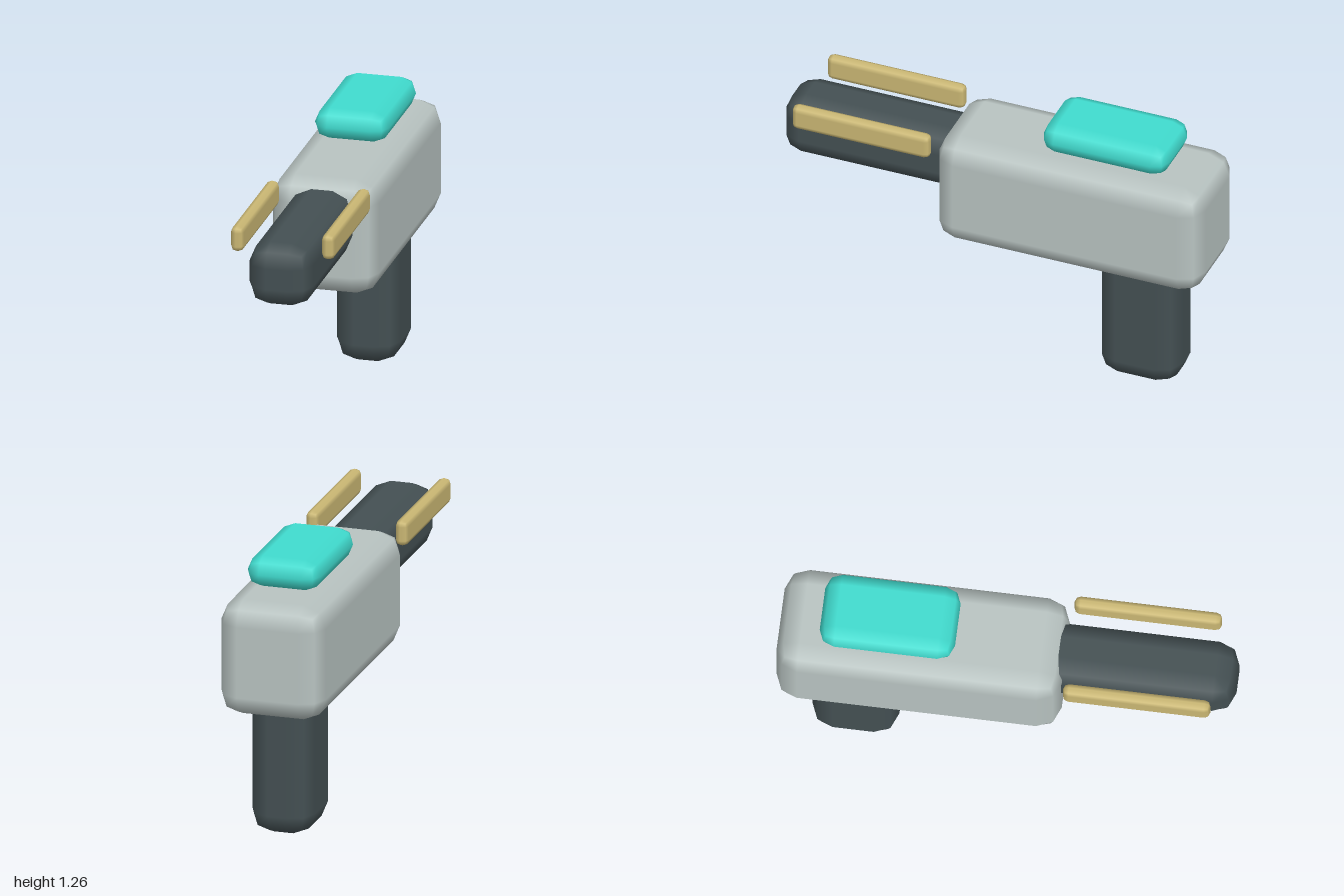
import * as THREE from 'three';
import { RoundedBoxGeometry } from 'three/addons/geometries/RoundedBoxGeometry.js';

const material = (color) => new THREE.MeshStandardMaterial({ color });

// Softly bevelled block given by its extents on each axis
function block(name, [x0, x1], [y0, y1], [z0, z1], radius, mat) {
  const geometry = new RoundedBoxGeometry(x1 - x0, y1 - y0, z1 - z0, 1, radius);
  const mesh = new THREE.Mesh(geometry, mat);
  mesh.position.set((x0 + x1) / 2, (y0 + y1) / 2, (z0 + z1) / 2);
  mesh.name = name;
  return mesh;
}

export function createModel() {
  const group = new THREE.Group();
  group.name = 'blaster';

  const shell = material(0xb9c4c2);
  const dark = material(0x445053);
  const teal = material(0x40dccf);
  const brass = material(0xcbb874);

  // Main housing
  group.add(block('body', [-0.238, 0.238], [0.58, 1.103], [-1, 0.247], 0.1, shell));

  // Barrel and grip, both sunk into the housing
  group.add(block('barrel', [-0.143, 0.143], [0.781, 1.067], [0.12, 1], 0.095, dark));
  group.add(block('grip', [-0.143, 0.143], [0, 0.72], [-0.855, -0.475], 0.1, dark));

  // Floating power cell above the housing
  group.add(block('powerCell', [-0.167, 0.167], [1.118, 1.258], [-0.817, -0.225], 0.07, teal));

  // Rails either side of the barrel
  for (const side of [1, -1]) {
    const rail = block(side > 0 ? 'leftRail' : 'rightRail',
      [0.175, 0.233], [0.999, 1.114], [0.26, 0.905], 0.026, brass);
    rail.position.x *= side;
    group.add(rail);
  }
  return group;
}
